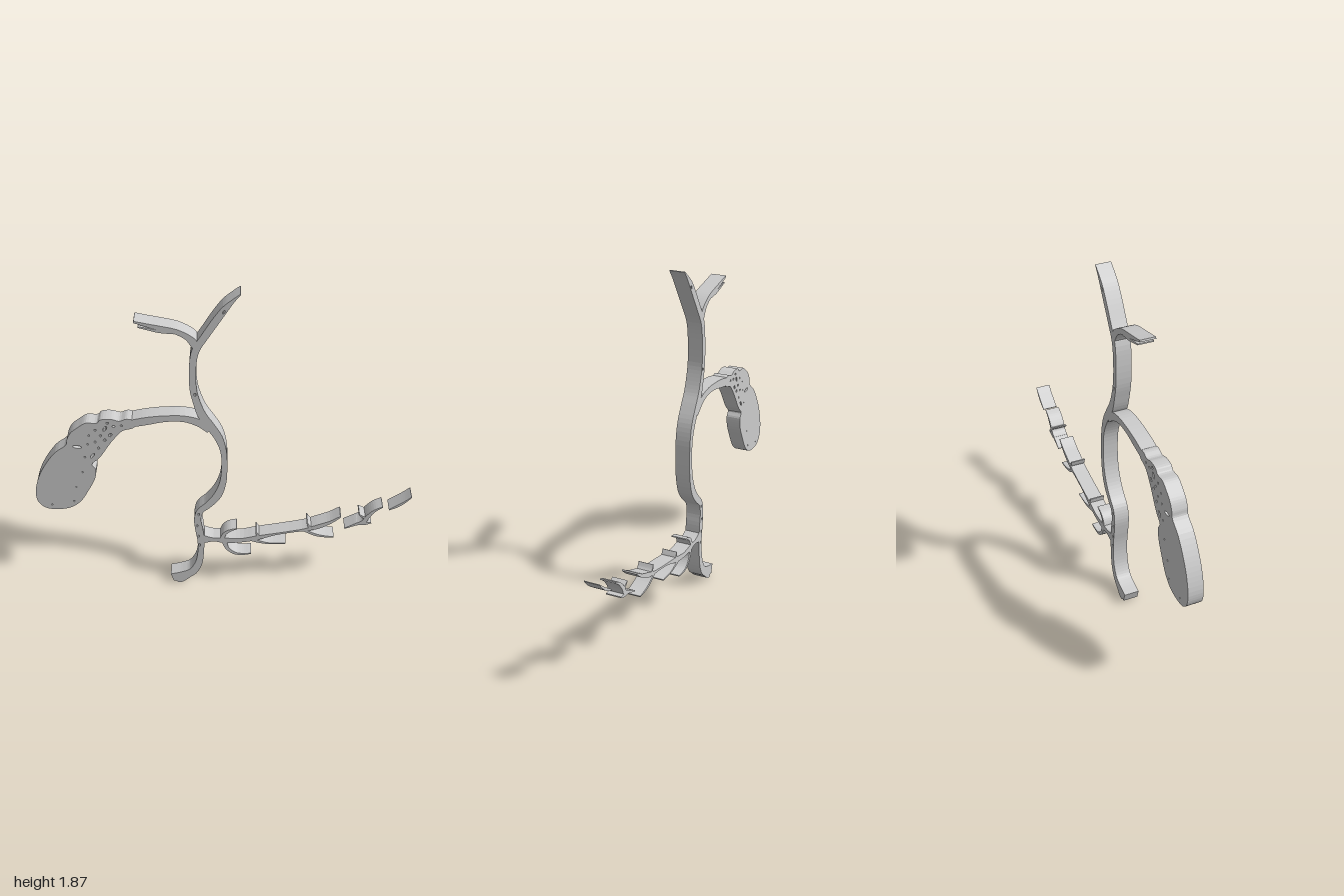
import * as THREE from 'three';

const DEPTH = 0.082;
const material = new THREE.MeshStandardMaterial({ color: 0xcccccc, side: THREE.DoubleSide });

const spline = (pts, closed = false) =>
  new THREE.CatmullRomCurve3(pts.map(([x, y, w = 0]) => new THREE.Vector3(x, y, w)), closed, 'centripetal');

// Flat plate of constant depth, centred on z = 0; holes are [x, y, rx, ry, angle]
function plate(name, outline, holes = []) {
  const shape = new THREE.Shape(outline);
  for (const [x, y, rx, ry = rx, angle = 0] of holes) {
    const hole = new THREE.EllipseCurve(x, y, rx, ry, 0, Math.PI * 2, true, angle).getPoints(8);
    shape.holes.push(new THREE.Path(hole.slice(0, -1)));
  }
  const geometry = new THREE.ExtrudeGeometry(shape, { depth: DEPTH, bevelEnabled: false });
  geometry.translate(0, 0, -DEPTH / 2);
  const mesh = new THREE.Mesh(geometry, material);
  mesh.name = name;
  return mesh;
}

// Duct of varying width along a centreline of [x, y, width]
function duct(name, pts, holes) {
  const curve = spline(pts);
  const steps = (pts.length - 1) * 4;
  const left = [], right = [];
  for (let i = 0; i <= steps; i++) {
    const p = curve.getPoint(i / steps);
    const t = curve.getTangent(i / steps);
    const n = new THREE.Vector2(-t.y, t.x).normalize().multiplyScalar(Math.max(p.z, 0.004) / 2);
    left.push(new THREE.Vector2(p.x + n.x, p.y + n.y));
    right.unshift(new THREE.Vector2(p.x - n.x, p.y - n.y));
  }
  return plate(name, [...left, ...right], holes);
}

export function createModel() {
  const group = new THREE.Group();
  group.name = 'ductTree';

  // Long main duct from the foot to the upper tip
  group.add(duct('mainDuct', [
    [-0.29, 0.04, 0.055], [-0.22, 0.06, 0.055], [-0.174, 0.088, 0.048], [-0.142, 0.147, 0.04],
    [-0.128, 0.227, 0.034], [-0.126, 0.318, 0.037], [-0.134, 0.398, 0.042], [-0.142, 0.479, 0.037],
    [-0.126, 0.537, 0.037], [-0.083, 0.58, 0.04], [-0.035, 0.644, 0.043], [-0.005, 0.735, 0.035],
    [0.003, 0.842, 0.03], [-0.003, 0.949, 0.032], [-0.029, 1.035, 0.043], [-0.072, 1.11, 0.047],
    [-0.11, 1.174, 0.045], [-0.136, 1.254, 0.037], [-0.152, 1.334, 0.035], [-0.152, 1.468, 0.035],
    [-0.136, 1.56, 0.037], [-0.088, 1.644, 0.037], [-0.035, 1.73, 0.038], [0.008, 1.794, 0.032],
    [0.045, 1.837, 0.016], [0.078, 1.87, 0.004],
  ], [
    [-0.143, 1.3, 0.006, 0.01], [-0.133, 0.29, 0.005, 0.011], [-0.137, 0.355, 0.005, 0.008],
    [-0.145, 0.43, 0.006, 0.007], [-0.135, 0.512, 0.005, 0.009], [0, 1.775, 0.005, 0.012, -0.5],
  ]));
  group.add(duct('footLobe', [[-0.262, 0.008, 0.02], [-0.245, 0.025, 0.045], [-0.2, 0.06, 0.04]]));

  // Upper side branch with its frayed underside
  group.add(duct('upperBranch', [
    [-0.138, 1.58, 0.035], [-0.15, 1.608, 0.04], [-0.174, 1.634, 0.032], [-0.227, 1.664, 0.028],
    [-0.297, 1.682, 0.026], [-0.366, 1.7, 0.018], [-0.43, 1.718, 0.01],
  ]));
  group.add(duct('upperBranchFray', [[-0.24, 1.66, 0.016], [-0.31, 1.666, 0.014], [-0.36, 1.678, 0.012], [-0.41, 1.69, 0.006]]));

  // Arched duct leading to the sac
  group.add(duct('sacDuct', [
    [-0.07, 1.08, 0.04], [-0.125, 1.125, 0.045], [-0.2, 1.15, 0.038], [-0.3, 1.15, 0.038],
    [-0.39, 1.135, 0.047], [-0.462, 1.12, 0.045],
  ]));

  // Sac and its pitted neck
  const sac = spline([
    [-0.455, 1.135], [-0.49, 1.147], [-0.53, 1.133], [-0.57, 1.145], [-0.625, 1.14], [-0.645, 1.12],
    [-0.7, 1.12], [-0.74, 1.094], [-0.783, 1.056], [-0.805, 1.013], [-0.812, 0.98], [-0.874, 0.928],
    [-0.938, 0.837], [-0.98, 0.746], [-1, 0.65], [-0.99, 0.59], [-0.954, 0.553], [-0.89, 0.543],
    [-0.815, 0.559], [-0.762, 0.602], [-0.714, 0.682], [-0.676, 0.762], [-0.67, 0.82], [-0.687, 0.853],
    [-0.65, 0.89], [-0.623, 0.928], [-0.59, 0.981], [-0.559, 1.024], [-0.516, 1.072], [-0.455, 1.095],
  ], true).getPoints(120).slice(0, -1).map((p) => new THREE.Vector2(p.x, p.y));
  group.add(plate('sac', sac, [
    [-0.755, 0.967, 0.025, 0.009, -0.15], [-0.68, 0.91, 0.018, 0.007, 0.9],
    [-0.605, 1.085, 0.008, 0.018, -0.5], [-0.58, 1.045, 0.008, 0.012, -0.6],
    [-0.63, 1.04, 0.007], [-0.61, 1.012, 0.008], [-0.655, 1.075, 0.006], [-0.56, 1.1, 0.009, 0.006],
    [-0.52, 1.105, 0.006], [-0.66, 1, 0.006], [-0.69, 1.04, 0.005], [-0.645, 0.96, 0.007],
    [-0.7, 0.985, 0.005], [-0.59, 1.12, 0.007], [-0.72, 0.9, 0.005], [-0.74, 0.8, 0.004],
    [-0.78, 0.7, 0.004], [-0.8, 0.6, 0.005], [-0.92, 0.575, 0.005],
  ]));

  // Lower side branch, its twigs and the detached pieces beyond it
  const twigs = {
    lowerBranch: [
      [-0.126, 0.322, 0.045], [-0.056, 0.33, 0.026], [0, 0.325, 0.036], [0.09, 0.325, 0.028],
      [0.18, 0.345, 0.03], [0.275, 0.372, 0.014], [0.38, 0.395, 0.012], [0.445, 0.408, 0.018],
      [0.51, 0.43, 0.028], [0.58, 0.465, 0.018], [0.63, 0.503, 0.008],
    ],
    stubTwig: [[-0.11, 0.35, 0.02], [-0.075, 0.34, 0.014], [-0.04, 0.335, 0.01]],
    firstUpperTwig: [[-0.012, 0.33, 0.024], [0.003, 0.37, 0.02], [0.03, 0.395, 0.015], [0.07, 0.41, 0.006]],
    firstLowerTwig: [[0, 0.32, 0.028], [0.02, 0.265, 0.02], [0.06, 0.23, 0.016], [0.1, 0.223, 0.012], [0.15, 0.228, 0.006]],
    secondLowerTwig: [[0.14, 0.335, 0.02], [0.2, 0.315, 0.015], [0.25, 0.305, 0.009], [0.34, 0.307, 0.006]],
    secondUpperTwig: [[0.19, 0.335, 0.02], [0.185, 0.36, 0.015], [0.175, 0.388, 0.006]],
    thirdLowerTwig: [[0.435, 0.405, 0.016], [0.495, 0.373, 0.015], [0.54, 0.361, 0.012], [0.6, 0.355, 0.006]],
    thirdUpperTwig: [[0.475, 0.415, 0.02], [0.46, 0.435, 0.012], [0.45, 0.458, 0.006]],
    detachedBranch: [
      [0.655, 0.42, 0.006], [0.71, 0.447, 0.014], [0.755, 0.468, 0.026], [0.775, 0.505, 0.022],
      [0.81, 0.547, 0.014], [0.85, 0.573, 0.006],
    ],
    detachedLowerTwig: [[0.72, 0.453, 0.016], [0.76, 0.456, 0.02], [0.797, 0.462, 0.006]],
    detachedUpperTwig: [[0.775, 0.49, 0.018], [0.75, 0.502, 0.012], [0.728, 0.518, 0.006]],
    detachedTip: [[0.885, 0.555, 0.006], [0.93, 0.582, 0.014], [0.97, 0.615, 0.01], [0.998, 0.644, 0.004]],
  };
  for (const [name, pts] of Object.entries(twigs)) group.add(duct(name, pts));

  return group;
}
